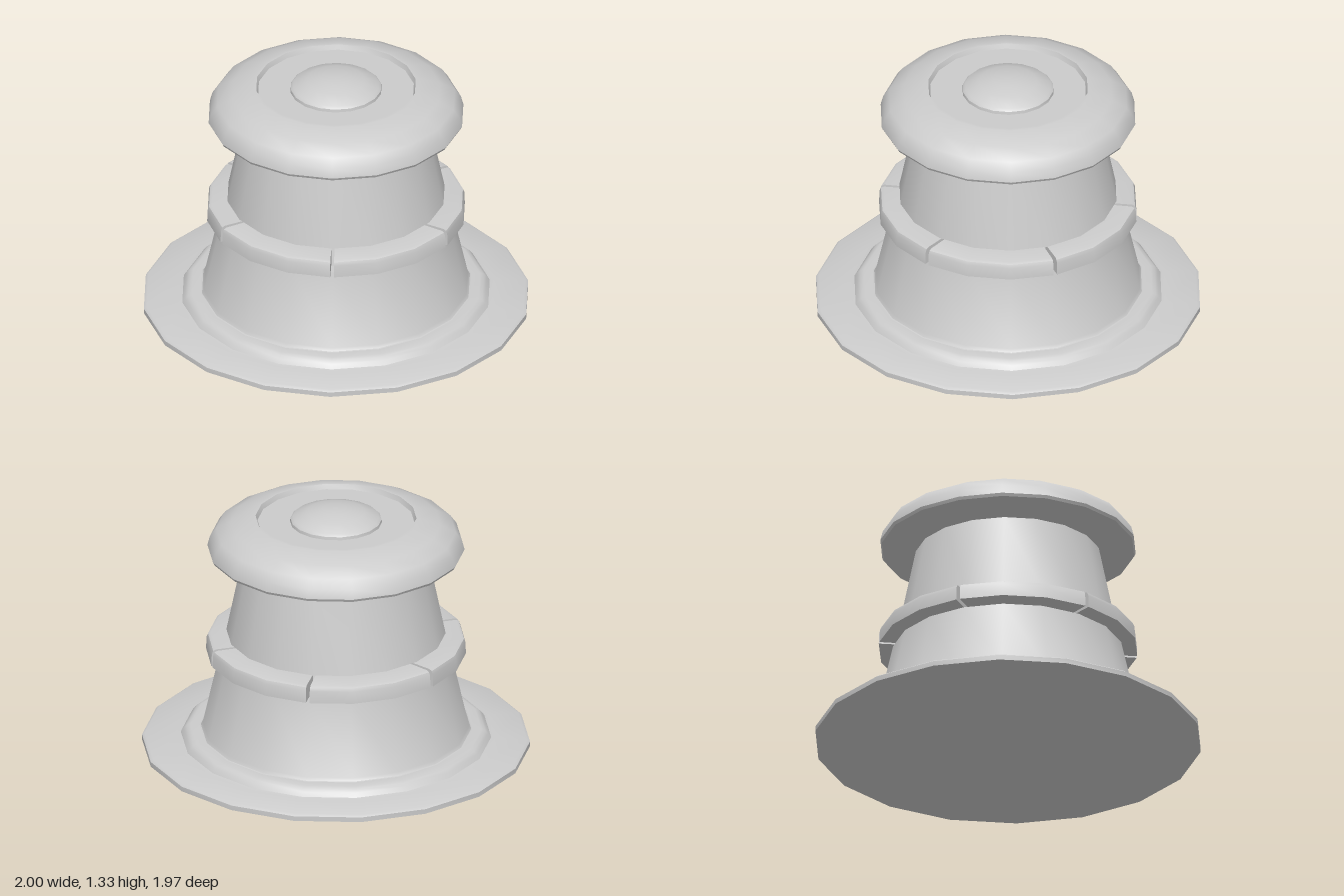
import * as THREE from 'three';
import { toCreasedNormals } from 'three/addons/utils/BufferGeometryUtils.js';

const SIDES = 18;
const mat = new THREE.MeshStandardMaterial({ color: 0xcccccc });
const capMat = new THREE.MeshStandardMaterial({ color: 0xcccccc, side: THREE.DoubleSide });
const toPoints = (profile) => profile.map(([r, y]) => new THREE.Vector2(r, y));

// Turned part from a [radius, height] profile listed bottom to top
function turned(name, profile, start = Math.PI / 2, length = Math.PI * 2, sides = SIDES) {
  const geo = new THREE.LatheGeometry(toPoints(profile), sides, start, length);
  const mesh = new THREE.Mesh(toCreasedNormals(geo, 0.6), mat);
  mesh.name = name;
  return mesh;
}

// One of the six separate pieces of the collar, closed at both ends
function collarPiece(index) {
  const profile = [[0.49, 0.52], [0.67, 0.52], [0.667, 0.585], [0.66, 0.603], [0.645, 0.61], [0.49, 0.61]];
  const gap = 0.015;
  const start = Math.PI / 2 + index * Math.PI / 3 + gap;
  const length = Math.PI / 3 - 2 * gap;
  const piece = new THREE.Group();
  piece.name = 'collarPiece' + (index + 1);
  piece.add(turned('collarArc', profile, start, length, 3));
  const endShape = new THREE.ShapeGeometry(new THREE.Shape(toPoints(profile)));
  for (const phi of [start, start + length]) {
    const end = new THREE.Mesh(endShape, capMat);
    end.name = 'collarEnd';
    end.rotation.y = phi - Math.PI / 2;
    piece.add(end);
  }
  return piece;
}

export function createModel() {
  const model = new THREE.Group();
  model.name = 'turnedKnob';

  // Wide flange with a rounded step
  model.add(turned('baseFlange', [
    [0, 0], [1, 0], [1, 0.026], [0.985, 0.036], [0.82, 0.043], [0.8, 0.047],
    [0.785, 0.068], [0.77, 0.083], [0.75, 0.09], [0.7, 0.09], [0.6, 0.09],
  ]));

  // Tapered body, with a groove behind the collar
  model.add(turned('body', [
    [0.71, 0.088], [0.697, 0.092], [0.686, 0.108], [0.597, 0.505], [0.53, 0.505],
    [0.503, 0.63], [0.565, 0.63], [0.478, 1.055],
  ]));

  // Split collar
  const collar = new THREE.Group();
  collar.name = 'collar';
  for (let i = 0; i < 6; i++) collar.add(collarPiece(i));
  model.add(collar);

  // Domed cap with a shallow recess in its top
  model.add(turned('cap', [
    [0, 1.05], [0.47, 1.05], [0.655, 1.09], [0.663, 1.105], [0.65, 1.155], [0.618, 1.2],
    [0.54, 1.242], [0.43, 1.276], [0.415, 1.276], [0.405, 1.25], [0, 1.25],
  ]));

  // Button in the recess
  model.add(turned('button', [
    [0.237, 1.25], [0.235, 1.266], [0.222, 1.278], [0.15, 1.305], [0.075, 1.32], [0, 1.325],
  ]));

  return model;
}
